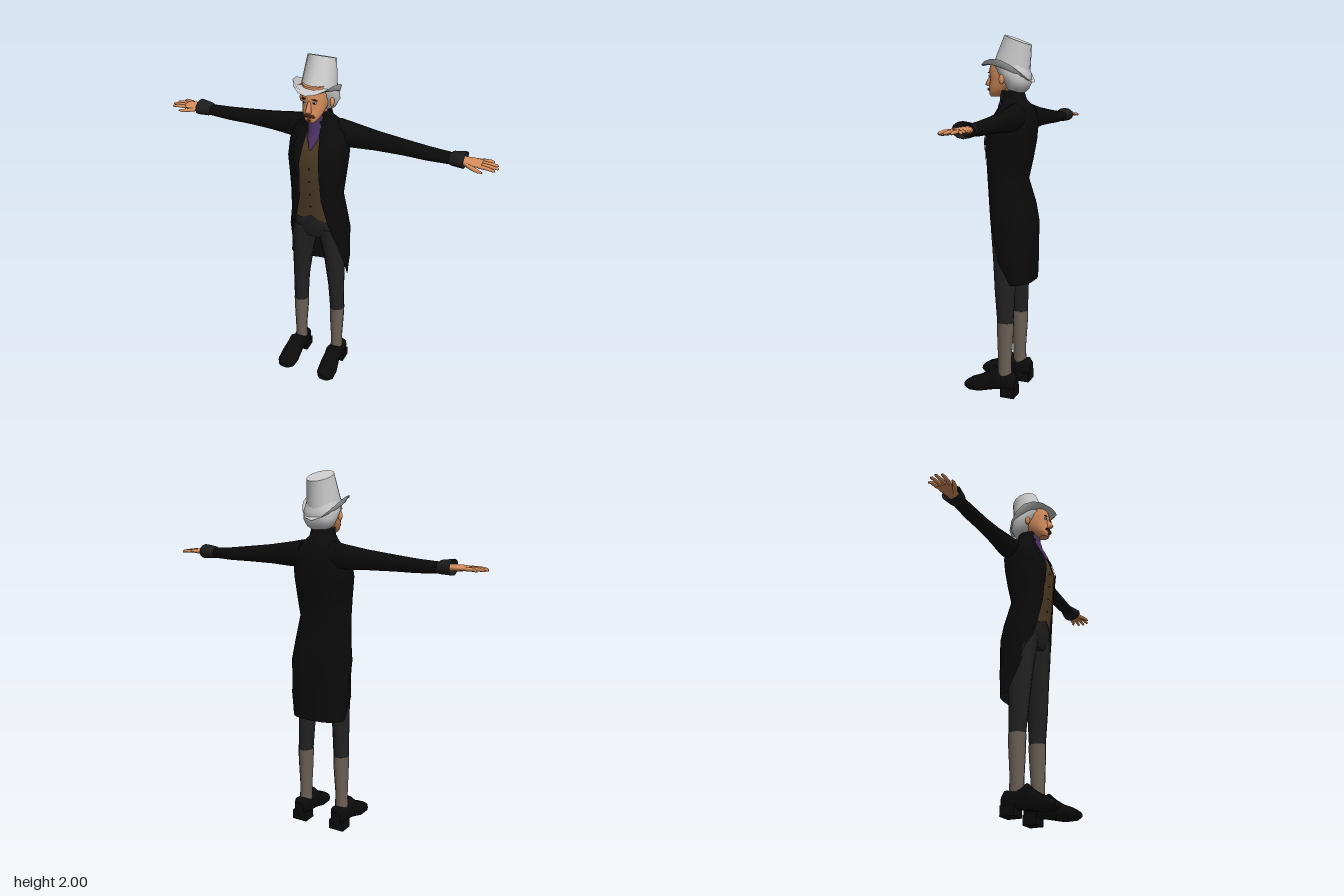
import * as THREE from 'three';

const pow = (v, n) => Math.sign(v) * Math.abs(v) ** (2 / n);

// Horizontal ring from +z towards +x; a0 (degrees) leaves a gap at the front
function ringY([y, rx, zf, zb, a0 = 0], { cx = 0, n = 2, seg = 16, tilt = 0, curl = 0, a1 = 360 - a0 } = {}) {
  const cz = (zf + zb) / 2, rz = (zf - zb) / 2, pts = [];
  const open = a1 - a0 < 360, count = open ? seg + 1 : seg;
  for (let i = 0; i < count; i++) {
    const a = THREE.MathUtils.degToRad(a0 + (a1 - a0) * i / seg);
    const dz = rz * pow(Math.cos(a), n);
    pts.push([cx + rx * pow(Math.sin(a), n), y + tilt * dz + curl * Math.sin(a) ** 2, cz + dz]);
  }
  return pts;
}
// Ring across the x axis
const ringX = ([x, cy, ry, cz, rz], seg = 10) => Array.from({ length: seg }, (_, i) => {
  const a = i / seg * Math.PI * 2;
  return [x, cy + ry * Math.cos(a), cz + rz * Math.sin(a)];
});
// Ring across the z axis, given its bottom and top
const ringZ = ([z, cx, rx, y0, y1], seg = 14) => Array.from({ length: seg }, (_, i) => {
  const a = i / seg * Math.PI * 2;
  return [cx + rx * pow(Math.cos(a), 3), (y0 + y1) / 2 + (y1 - y0) / 2 * pow(Math.sin(a), 3), z];
});

// Skin over consecutive rings, with optional end caps
function loft(rings, { open = false, caps = true } = {}) {
  const n = rings[0].length, pos = rings.flat(2), idx = [];
  for (let r = 0; r < rings.length - 1; r++) {
    for (let i = 0; i < (open ? n - 1 : n); i++) {
      const a = r * n + i, b = r * n + (i + 1) % n;
      idx.push(a, b, b + n, a, b + n, a + n);
    }
  }
  if (caps && !open) {
    [rings[0], rings.at(-1)].forEach((ring, end) => {
      const base = pos.length / 3;
      pos.push(...ring.flat());
      pos.push(...[0, 1, 2].map(k => ring.reduce((s, p) => s + p[k], 0) / n));
      for (let i = 0; i < n; i++) {
        const j = (i + 1) % n;
        idx.push(base + n, base + (end ? i : j), base + (end ? j : i));
      }
    });
  }
  const g = new THREE.BufferGeometry();
  g.setAttribute('position', new THREE.Float32BufferAttribute(pos, 3));
  g.setIndex(idx);
  g.computeVertexNormals();
  return g;
}
const loftY = (sections, o = {}) => loft(sections.map(s => ringY(s, o)), o);

function mirrored(geo) {
  const g = geo.clone(), ix = g.index.array;
  const p = g.attributes.position, nm = g.attributes.normal;
  for (let i = 0; i < p.count; i++) { p.setX(i, -p.getX(i)); nm.setX(i, -nm.getX(i)); }
  for (let i = 0; i < ix.length; i += 3) [ix[i], ix[i + 1]] = [ix[i + 1], ix[i]];
  return g;
}
const blob = (x, y, z, sx, sy, sz, rot = 0) =>
  new THREE.SphereGeometry(1, 12, 8).scale(sx, sy, sz).rotateZ(rot).translate(x, y, z);

export function createModel() {
  const model = new THREE.Group();
  const mat = (color, side = THREE.FrontSide) => new THREE.MeshStandardMaterial({ color, side });
  const D = THREE.DoubleSide;
  const black = mat(0x0b0b0b, D), trouser = mat(0x222222), stocking = mat(0x6b6156), vest = mat(0x4c3b25);
  const purple = mat(0x4b3062), skin = mat(0xd9905e), grey = mat(0xcccccc, D), brown = mat(0x4a2412);
  const cuffMat = mat(0x1c1c1c, D), white = mat(0xe6e0d8), dark = mat(0x1a1512);
  const add = (name, geo, m) => {
    const mesh = new THREE.Mesh(geo, m);
    mesh.name = name;
    model.add(mesh);
  };
  const pair = (name, geo, m) => {
    add('left' + name, geo, m);
    add('right' + name, mirrored(geo), m);
  };

  // Tail coat: y, half width, front z, back z, opening angle
  const coat = [
    [0.655, 0.16, 0.03, -0.175, 95], [0.78, 0.173, 0.05, -0.178, 72], [0.98, 0.172, 0.065, -0.18, 38],
    [1.08, 0.157, 0.075, -0.165, 31], [1.22, 0.145, 0.085, -0.12, 20], [1.33, 0.153, 0.092, -0.145, 17],
    [1.44, 0.162, 0.1, -0.165, 15], [1.52, 0.16, 0.075, -0.172, 12], [1.58, 0.145, 0.04, -0.163, 11],
    [1.63, 0.1, 0.015, -0.14, 12], [1.66, 0.067, 0.018, -0.115, 18], [1.705, 0.06, 0.018, -0.1, 25]];
  add('coat', loftY(coat, { n: 2.5, seg: 28, open: true }), black);
  // Lapels follow the coat opening, a little proud of it
  const lapel = coat.slice(5, 11).map(([y, rx, zf, zb, a], i) =>
    ringY([y, rx + 0.003, zf + 0.006, zb, a], { n: 2.5, seg: 4, a1: a + [4, 12, 22, 20, 24, 30][i] }));
  pair('Lapel', loft(lapel, { open: true }), black);

  // Waistcoat with a notched hem and a row of buttons
  const vestGeo = loftY([
    [1.08, 0.145, 0.068, -0.13], [1.14, 0.135, 0.072, -0.12], [1.22, 0.135, 0.08, -0.11],
    [1.33, 0.142, 0.087, -0.13], [1.44, 0.15, 0.095, -0.15], [1.52, 0.145, 0.07, -0.15], [1.6, 0.11, 0.025, -0.13]],
  { n: 2.5, seg: 32 });
  const vp = vestGeo.attributes.position;
  for (let i = 0; i < vp.count; i++) {
    if (vp.getY(i) < 1.1 && vp.getZ(i) > 0) vp.setY(i, 1.08 + Math.max(0, 0.035 - Math.abs(vp.getX(i)) * 0.6));
  }
  add('waistcoat', vestGeo, vest);
  [[1.17, 0.076], [1.25, 0.083], [1.33, 0.088], [1.41, 0.094]].forEach(([y, z], i) =>
    add('button' + (i + 1), blob(0, y, z, 0.005, 0.005, 0.004), dark));

  // Cravat
  add('cravat', loftY([
    [1.515, 0.005, 0.088, 0.05], [1.57, 0.036, 0.064, 0], [1.6, 0.04, 0.045, -0.04], [1.63, 0.05, 0.04, -0.07],
    [1.65, 0.045, 0.032, -0.08], [1.68, 0.054, 0.03, -0.09], [1.7, 0.05, 0.024, -0.088]]), purple);

  // Trousers, stockings and shoes
  add('trouserSeat', loftY([[0.95, 0.13, 0.035, -0.12], [1.0, 0.15, 0.053, -0.13], [1.06, 0.145, 0.06, -0.125],
    [1.13, 0.13, 0.068, -0.11]], { n: 2.5, seg: 24 }), trouser);
  const leg = (sections) => loft(sections.map(([y, cx, ...s]) => ringY([y, ...s], { cx, seg: 12 })));
  pair('TrouserLeg', leg([[0.43, 0.118, 0.042, 0.002, -0.092], [0.6, 0.112, 0.044, 0.02, -0.1],
    [0.8, 0.099, 0.058, 0.035, -0.115], [0.94, 0.085, 0.075, 0.05, -0.13], [1.02, 0.078, 0.077, 0.055, -0.13]]), trouser);
  pair('Stocking', leg([[0.1, 0.12, 0.036, -0.003, -0.085], [0.2, 0.12, 0.034, -0.003, -0.081],
    [0.36, 0.118, 0.042, 0.003, -0.092], [0.431, 0.118, 0.0435, 0.004, -0.094]]), stocking);
  pair('Shoe', loft([
    [-0.115, 0.125, 0.03, 0.045, 0.11], [-0.095, 0.123, 0.044, 0.04, 0.135], [-0.03, 0.122, 0.046, 0.035, 0.125],
    [0.0, 0.123, 0.046, 0.03, 0.14], [0.025, 0.125, 0.045, 0.025, 0.16], [0.05, 0.127, 0.048, 0.02, 0.135],
    [0.1, 0.13, 0.056, 0.01, 0.1], [0.16, 0.132, 0.054, 0.012, 0.075], [0.19, 0.133, 0.034, 0.025, 0.055]]
    .map(s => ringZ(s))), black);
  pair('Heel', new THREE.BoxGeometry(0.09, 0.055, 0.08).translate(0.124, 0.0275, -0.073), black);

  // Sleeves and flared cuffs
  pair('Sleeve', loft([
    [0.09, 1.57, 0.07, -0.09, 0.062], [0.17, 1.558, 0.067, -0.095, 0.06], [0.3, 1.552, 0.053, -0.098, 0.045],
    [0.45, 1.545, 0.043, -0.1, 0.038], [0.58, 1.538, 0.036, -0.1, 0.04], [0.72, 1.537, 0.028, -0.1, 0.036]]
    .map(s => ringX(s, 12))), black);
  pair('Cuff', loft([[0.69, 1.538, 0.027, -0.1, 0.036], [0.705, 1.54, 0.035, -0.1, 0.047],
    [0.77, 1.543, 0.041, -0.1, 0.058]].map(s => ringX(s, 12)), { caps: false }), cuffMat);

  // Hands
  pair('Palm', loft([[0.71, 1.54, 0.018, -0.1, 0.026], [0.77, 1.541, 0.018, -0.098, 0.034],
    [0.81, 1.542, 0.016, -0.097, 0.044], [0.855, 1.542, 0.011, -0.099, 0.046]].map(s => ringX(s))), skin);
  [[-0.135, -0.148, 0.905], [-0.111, -0.117, 0.932], [-0.087, -0.086, 0.94], [-0.063, -0.055, 0.928]].forEach(([z0, z1, tip], i) =>
    pair('Finger' + (i + 1), loft([[0.845, 1.542, 0.01, z0, 0.0115], [0.89, 1.542, 0.009, (z0 + z1) / 2, 0.01],
      [tip - 0.008, 1.538, 0.007, z1, 0.008], [tip, 1.536, 0.003, z1, 0.003]].map(s => ringX(s, 8))), skin));
  pair('Thumb', loft([[0.765, 1.538, 0.012, -0.08, 0.016], [0.81, 1.533, 0.011, -0.052, 0.015],
    [0.85, 1.53, 0.009, -0.033, 0.01], [0.872, 1.529, 0.003, -0.029, 0.004]].map(s => ringX(s, 8))), skin);

  // Head and face
  add('neck', loftY([[1.6, 0.045, 0.005, -0.09], [1.75, 0.045, 0.01, -0.09]]), skin);
  add('head', loftY([
    [1.672, 0.024, 0.084, 0.03], [1.685, 0.036, 0.092, 0.01], [1.705, 0.048, 0.092, -0.02], [1.735, 0.058, 0.091, -0.06],
    [1.77, 0.064, 0.086, -0.1], [1.81, 0.069, 0.092, -0.11], [1.86, 0.066, 0.08, -0.11]], { n: 2.3, seg: 20 }), skin);
  add('nose', loftY([[1.727, 0.012, 0.1, 0.07], [1.736, 0.017, 0.121, 0.07], [1.748, 0.013, 0.116, 0.07],
    [1.79, 0.007, 0.092, 0.07]], { seg: 8 }), skin);
  pair('Eye', blob(0.028, 1.784, 0.083, 0.012, 0.006, 0.006), white);
  pair('Iris', blob(0.028, 1.784, 0.087, 0.005, 0.005, 0.004), dark);
  pair('Eyebrow', blob(0.03, 1.801, 0.086, 0.017, 0.003, 0.006, -0.12), brown);
  pair('Moustache', blob(0.015, 1.713, 0.09, 0.019, 0.007, 0.01, -0.25), brown);
  add('mouth', blob(0, 1.702, 0.09, 0.014, 0.004, 0.006), mat(0xa3523c));
  add('chinBeard', blob(0, 1.688, 0.089, 0.012, 0.007, 0.007), brown);
  pair('Ear', blob(0.084, 1.764, -0.008, 0.011, 0.026, 0.016), skin);

  // Hair around the sides and back
  add('hair', loftY([
    [1.695, 0.045, -0.05, -0.105], [1.712, 0.075, -0.02, -0.125], [1.75, 0.094, -0.005, -0.143],
    [1.795, 0.098, 0.035, -0.14], [1.84, 0.09, 0.06, -0.125]], { n: 2.3, seg: 20 }), grey);

  // Tall hat, tipped back, with the brim curled up at the sides
  const band = ringY([1.815, 0.093, 0.062, -0.135], { tilt: 0.46 });
  add('hatCrown', loft([band, ringY([1.972, 0.073, 0.002, -0.145], { tilt: 0.38 })]), grey);
  add('hatBrim', loft([
    ringY([1.79, 0.119, 0.135, -0.163], { tilt: 0.305, curl: 0.075 }),
    ringY([1.798, 0.108, 0.1, -0.15], { tilt: 0.36, curl: 0.025 }), band], { caps: false }), grey);
  return model;
}
